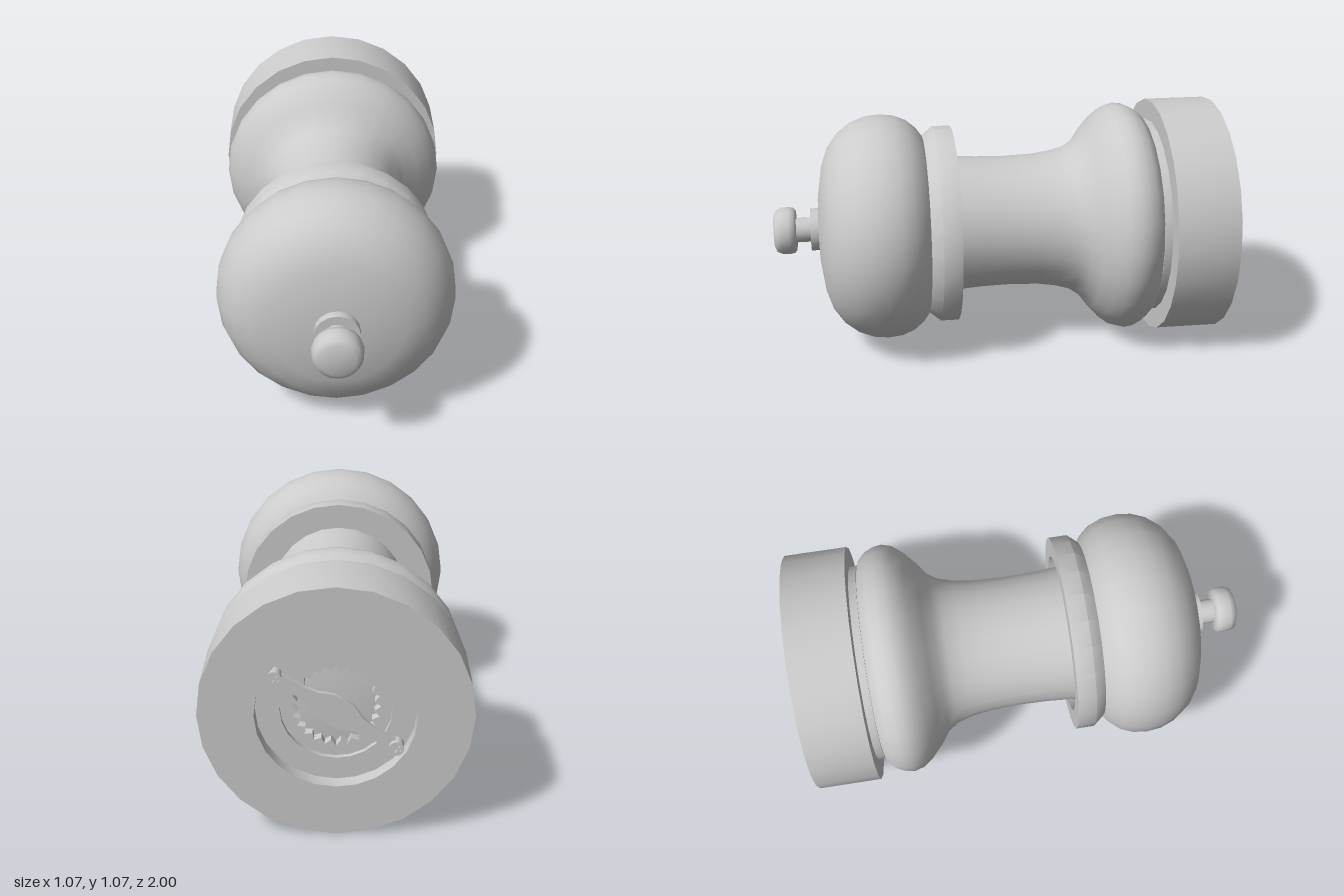
import * as THREE from 'three';
import { toCreasedNormals } from 'three/addons/utils/BufferGeometryUtils.js';

const AXIS_Y = 0.537;
const SIDES = 24;

export function createModel() {
  const root = new THREE.Group();
  root.name = 'pepperMill';
  const mill = new THREE.Group();
  mill.name = 'lyingMill';
  mill.position.y = AXIS_Y;
  root.add(mill);
  const material = new THREE.MeshStandardMaterial({ color: 0xcccccc });

  const add = (name, geometry, parent = mill) => {
    const mesh = new THREE.Mesh(geometry, material);
    mesh.name = name;
    parent.add(mesh);
    return mesh;
  };
  // Turned part: [radius, z] pairs running from back to front along the mill axis
  const turned = (name, profile, sides = SIDES, crease = 0.6) => {
    const points = profile.map(([r, z]) => new THREE.Vector2(r, z));
    const geometry = new THREE.LatheGeometry(points, sides);
    geometry.rotateX(Math.PI / 2);
    return add(name, toCreasedNormals(geometry, crease));
  };
  const plate = (shape, depth, z) => {
    const geometry = new THREE.ExtrudeGeometry(shape, { depth, bevelEnabled: false, curveSegments: 16 });
    geometry.translate(0, 0, z);
    return toCreasedNormals(geometry, 0.5);
  };

  // Base drum with a stepped recess at the back, and the narrow collar in front of it
  turned('base', [
    [0.17, -0.94 + 0.04], [0.22, -0.9], [0.22, -0.94], [0.315, -0.94], [0.315, -1],
    [0.535, -1], [0.535, -0.722], [0.43, -0.722],
  ]);
  turned('collar', [[0.445, -0.73], [0.445, -0.688], [0.4, -0.688]]);

  // Waisted body
  turned('body', [
    [0.43, -0.69], [0.465, -0.68], [0.5, -0.645], [0.518, -0.605], [0.523, -0.565],
    [0.51, -0.52], [0.475, -0.475], [0.42, -0.425], [0.365, -0.385], [0.335, -0.34],
    [0.315, -0.27], [0.302, -0.18], [0.297, -0.05], [0.3, 0.08], [0.308, 0.19], [0.312, 0.255],
  ], SIDES, 0.8);

  // Cap: hollow rim, groove and rounded dome
  turned('cap', [
    [0, 0.25], [0.36, 0.25], [0.36, 0.19], [0.445, 0.19], [0.445, 0.272], [0.405, 0.32],
    [0.44, 0.345], [0.478, 0.39], [0.5, 0.445], [0.507, 0.51], [0.5, 0.575],
    [0.475, 0.64], [0.43, 0.7], [0.365, 0.748], [0.28, 0.777], [0.15, 0.797], [0, 0.803],
  ], SIDES, 0.7);

  // Adjusting knob
  turned('knobWasher', [[0.095, 0.785], [0.095, 0.835], [0, 0.835]], 16);
  turned('knobStem', [[0.055, 0.82], [0.055, 0.91]], 16);
  turned('knob', [
    [0, 0.9], [0.09, 0.9], [0.102, 0.91], [0.106, 0.93], [0.104, 0.965],
    [0.094, 0.988], [0.072, 0.998], [0, 1],
  ], 18, 0.8);

  // Toothed grinder ring
  const ring = new THREE.Shape();
  ring.absarc(0, 0, 0.222, 0, Math.PI * 2);
  const toothed = new THREE.Path();
  const teeth = 24;
  for (let i = 0; i < teeth * 2; i++) {
    const a = (i / teeth) * Math.PI;
    const r = i % 2 ? 0.152 : 0.175;
    if (i) toothed.lineTo(r * Math.cos(a), r * Math.sin(a));
    else toothed.moveTo(r, 0);
  }
  toothed.closePath();
  ring.holes.push(toothed);
  add('grinderRing', plate(ring, 0.04, -0.92));
  turned('grinderCore', [[0, -0.895], [0.18, -0.88], [0.18, -0.86]]);

  // Retaining bar, wider in the middle, held by two screws
  const retainer = new THREE.Group();
  retainer.name = 'retainer';
  retainer.rotation.z = 0.57;
  mill.add(retainer);

  const bar = new THREE.Shape();
  const edge = [[-0.29, 0.024], [-0.16, 0.024], [-0.1, 0.035], [-0.045, 0.06], [0.045, 0.06],
    [0.1, 0.035], [0.16, 0.024], [0.29, 0.024]];
  bar.setFromPoints([
    ...edge.map(([x, y]) => new THREE.Vector2(x, y)),
    ...edge.map(([x, y]) => new THREE.Vector2(-x, -y)),
  ]);
  add('retainingBar', plate(bar, 0.018, -0.968), retainer);

  // Screw heads with a cross-shaped slot
  const head = new THREE.Shape();
  head.absarc(0, 0, 0.03, 0, Math.PI * 2);
  const w = 0.005, l = 0.019;
  const cross = [[w, l], [w, w], [l, w], [l, -w], [w, -w], [w, -l],
    [-w, -l], [-w, -w], [-l, -w], [-l, w], [-w, w], [-w, l]];
  head.holes.push(new THREE.Path(cross.map(([x, y]) => new THREE.Vector2(x, y))));
  for (const side of [-1, 1]) {
    const screw = new THREE.Group();
    screw.name = side > 0 ? 'leftScrew' : 'rightScrew';
    screw.position.x = side * 0.28;
    retainer.add(screw);
    add('screwHead', plate(head, 0.012, -0.987), screw);
    const shank = new THREE.CylinderGeometry(0.03, 0.03, 0.04, 16);
    shank.rotateX(Math.PI / 2);
    shank.translate(0, 0, -0.955);
    add('screwShank', shank, screw);
  }
  return root;
}
